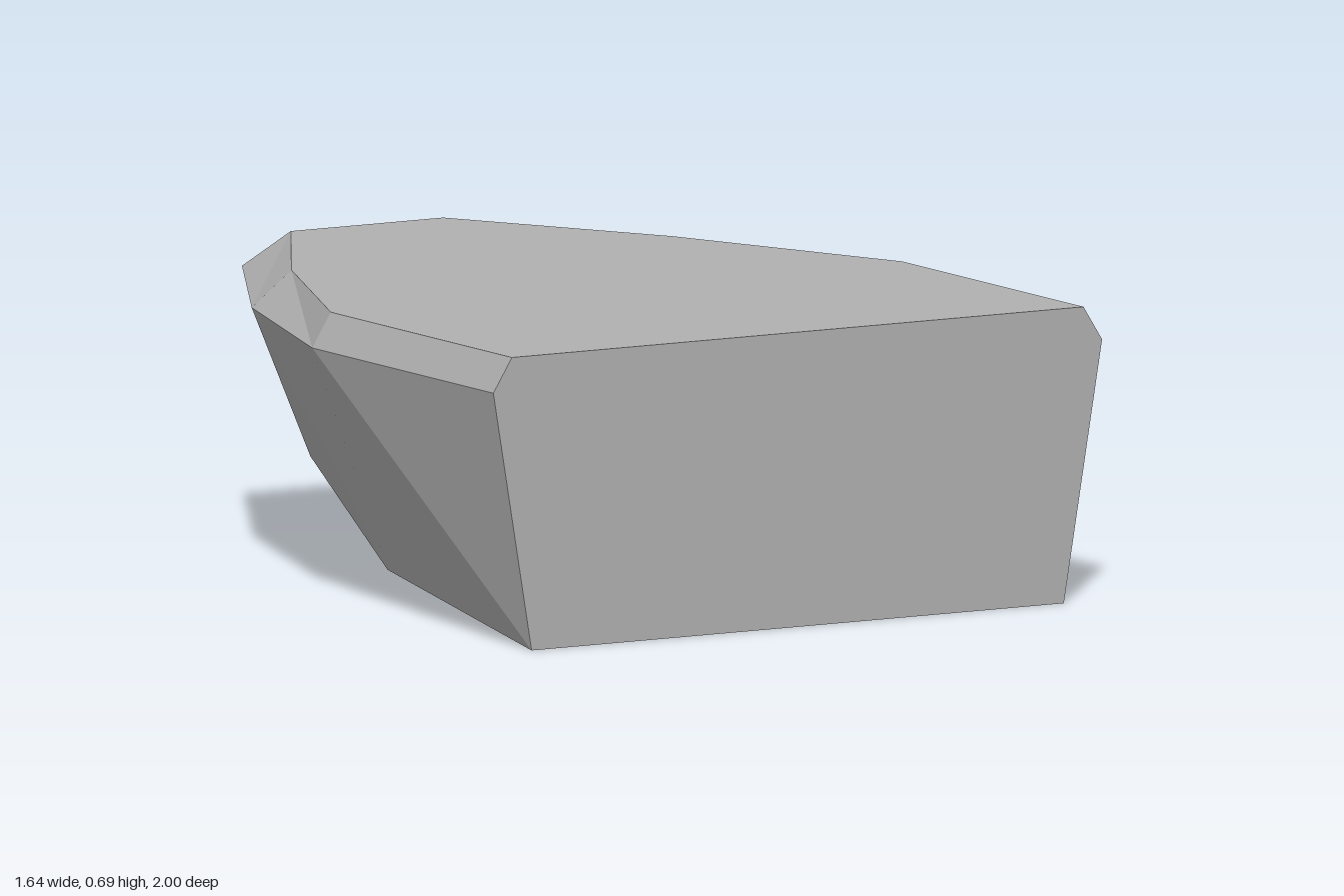
import * as THREE from 'three';

// Cross-sections from the wide front face to the narrow raised end.
// top/rim/keel are half widths; keelY is the height of the underside.
const RIM_Y = 0.61, TOP_Y = 0.69;
const sections = [
  { z: 1.0, topZ: 1.0, top: 0.77, rim: 0.82, keel: 0.717, keelY: 0 },
  { z: 0.18, topZ: 0.18, top: 0.77, rim: 0.82, keel: 0.617, keelY: 0.075 },
  { z: -0.43, topZ: -0.43, top: 0.513, rim: 0.62, keel: 0.462, keelY: 0.25 },
  { z: -1.0, topZ: -0.95, top: 0.205, rim: 0.307, keel: 0.21, keelY: 0.445 },
];

// Six corners of a section: down the left side, then up the right
function ring(s) {
  const half = [[s.top, TOP_Y, s.topZ], [s.rim, RIM_Y, s.z], [s.keel, s.keelY, s.z]];
  return [...half, ...half.map(([x, y, z]) => [-x, y, z]).reverse()];
}

function hullGeometry() {
  const rings = sections.map(ring);
  const n = 6, index = [];
  // Skin between neighbouring sections
  for (let i = 0; i < rings.length - 1; i++) {
    for (let j = 0; j < n; j++) {
      const k = (j + 1) % n;
      const a = i * n + j, b = a + n, c = i * n + k, d = c + n;
      index.push(a, c, d, a, d, b);
    }
  }
  // End caps: bevel strip and main panel
  const cap = [[0, 5, 4], [0, 4, 1], [1, 4, 3], [1, 3, 2]];
  const last = (rings.length - 1) * n;
  for (const [a, b, c] of cap) {
    index.push(a, b, c);
    index.push(last + a, last + c, last + b);
  }
  const indexed = new THREE.BufferGeometry();
  indexed.setAttribute('position', new THREE.Float32BufferAttribute(rings.flat(2), 3));
  indexed.setIndex(index);
  const geometry = indexed.toNonIndexed();
  geometry.computeVertexNormals(); // flat facets
  return geometry;
}

export function createModel() {
  const group = new THREE.Group();
  group.name = 'taperedHull';
  const grey = new THREE.MeshStandardMaterial({ color: 0xb0b0b0 });
  grey.name = 'grey';
  const hull = new THREE.Mesh(hullGeometry(), grey);
  hull.name = 'hull';
  group.add(hull);
  return group;
}
